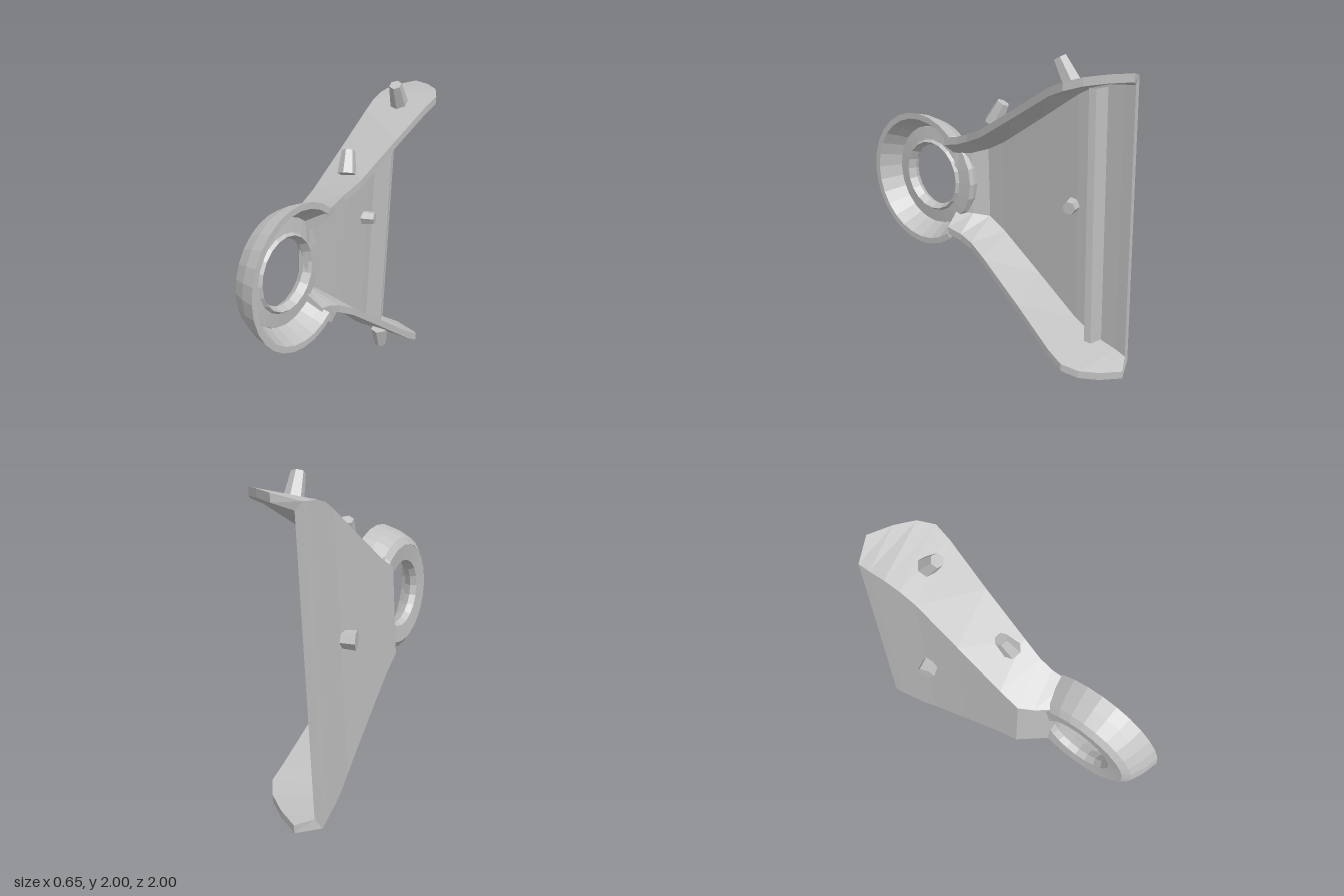
import * as THREE from 'three';

const grey = new THREE.MeshStandardMaterial({ color: 0xc0c0c0, flatShading: true, side: THREE.DoubleSide });
grey.name = 'plain grey';

// The whole part leans slightly: x shifts with height
const lean = (x, y, z) => [x + 0.05 * (y - 1), y, z];

// Skin closed loops of points into a surface; caps lists the quads closing each end
function loft(loops, caps = []) {
  const n = loops[0].length, index = [];
  const quad = (a, b, c, d) => index.push(a, b, c, a, c, d);
  for (let s = 0; s < loops.length - 1; s++) {
    for (let i = 0; i < n; i++) {
      const j = (i + 1) % n, a = s * n, b = a + n;
      quad(a + i, b + i, b + j, a + j);
    }
  }
  const last = (loops.length - 1) * n;
  for (const [a, b, c, d] of caps) {
    quad(a, b, c, d);
    quad(last + d, last + c, last + b, last + a);
  }
  const g = new THREE.BufferGeometry();
  g.setAttribute('position', new THREE.Float32BufferAttribute(loops.flat(2), 3));
  g.setIndex(index);
  g.computeVertexNormals();
  return g;
}

export function createModel() {
  const model = new THREE.Group();
  model.name = 'bracket';
  const add = (name, geometry) => {
    const mesh = new THREE.Mesh(geometry, grey);
    mesh.name = name;
    model.add(mesh);
    return mesh;
  };

  // Triangular channel: back plate with two flared flanges
  // z, centre height, half height, back x, floor x, rim x, flare
  const stations = [
    [0.33, 1.04, 0.34, -0.20, -0.14, -0.03, 0.08],
    [0.22, 1.04, 0.365, -0.26, -0.18, -0.02, 0.10],
    [0.13, 1.04, 0.40, -0.30, -0.25, 0.0, 0.11],
    [0.0, 1.035, 0.465, -0.275, -0.23, 0.05, 0.10],
    [-0.3, 1.025, 0.665, -0.22, -0.175, 0.15, 0.08],
    [-0.58, 1.015, 0.855, -0.17, -0.125, 0.25, 0.06],
    [-0.68, 1.01, 0.905, -0.16, -0.115, 0.28, 0.05],
    [-0.78, 1.005, 0.94, -0.15, -0.105, 0.24, 0.05],
    [-0.88, 0.995, 0.96, -0.14, -0.095, 0.15, 0.05],
    [-0.95, 0.985, 0.968, -0.13, -0.085, 0.03, 0.04],
  ];
  const wall = 0.05;
  const sections = stations.map(([z, c, h, back, floor, rim, flare], s) => {
    const tip = s === stations.length - 1 ? z - 0.035 : z; // flanges reach past the plate
    return [
      lean(rim, c + h, tip), lean(back, c + h - flare, z),
      lean(back, c - h + flare, z), lean(rim, c - h, tip),
      lean(rim, c - h + wall, tip), lean(floor, c - h + flare + wall, z),
      lean(floor, c + h - flare - wall, z), lean(rim, c + h - wall, tip),
    ];
  });
  add('channelBody', loft(sections, [[0, 1, 6, 7], [1, 2, 5, 6], [2, 3, 4, 5]]));

  // Upright rib across the wide end
  const ribProfile = [[-0.14, -0.79], [-0.02, -0.74], [-0.01, -0.70], [-0.14, -0.66]];
  add('rib', loft([0.17, 1.83].map(y => ribProfile.map(([x, z]) => lean(x, y, z)))));

  // Ring: an open cup around a round hole, tilted about the upright
  const tilt = 0.2;
  const axis = new THREE.Vector3(Math.cos(tilt), 0, Math.sin(tilt));
  const along = new THREE.Vector3(-Math.sin(tilt), 0, Math.cos(tilt));
  const place = new THREE.Matrix4()
    .makeBasis(new THREE.Vector3(0, -1, 0), axis, along)
    .setPosition(-0.055, 1.045, 0.565);
  const lathe = (points, sides, start, length) =>
    new THREE.LatheGeometry(points.map(p => new THREE.Vector2(...p)), sides, start, length).applyMatrix4(place);

  // Cup wall stops where the neck opens into the channel
  add('ringWall', lathe(
    [[0.34, -0.21], [0.385, -0.18], [0.43, -0.09], [0.455, 0], [0.415, 0], [0.385, -0.06], [0.34, -0.14]],
    20, -2.25, 4.5));
  add('ringFloor', lathe(
    [[0.23, -0.2], [0.34, -0.21], [0.35, -0.17], [0.34, -0.14], [0.25, -0.13], [0.235, -0.11], [0.21, -0.16], [0.23, -0.2]],
    20, 0, Math.PI * 2));

  // Small studs: position of centre, direction, length
  const studs = [
    ['upperRearStud', [0.09, 1.93, -0.58], [0, 0.85, 0.5], 0.16],
    ['upperFrontStud', [-0.04, 1.59, -0.06], [-0.1, 0.85, -0.4], 0.15],
    ['lowerFrontStud', [-0.14, 0.58, 0.02], [-0.2, -0.85, 0.2], 0.13],
    ['lowerRearStud', [0.0, 0.15, -0.56], [0, -0.9, -0.2], 0.14],
    ['plateStud', [-0.15, 1.055, -0.55], [1, 0, -0.1], 0.2],
  ];
  for (const [name, position, direction, length] of studs) {
    const stud = add(name, new THREE.CylinderGeometry(0.042, 0.06, length, 6));
    stud.position.set(...position);
    stud.quaternion.setFromUnitVectors(new THREE.Vector3(0, 1, 0), new THREE.Vector3(...direction).normalize());
  }
  return model;
}
